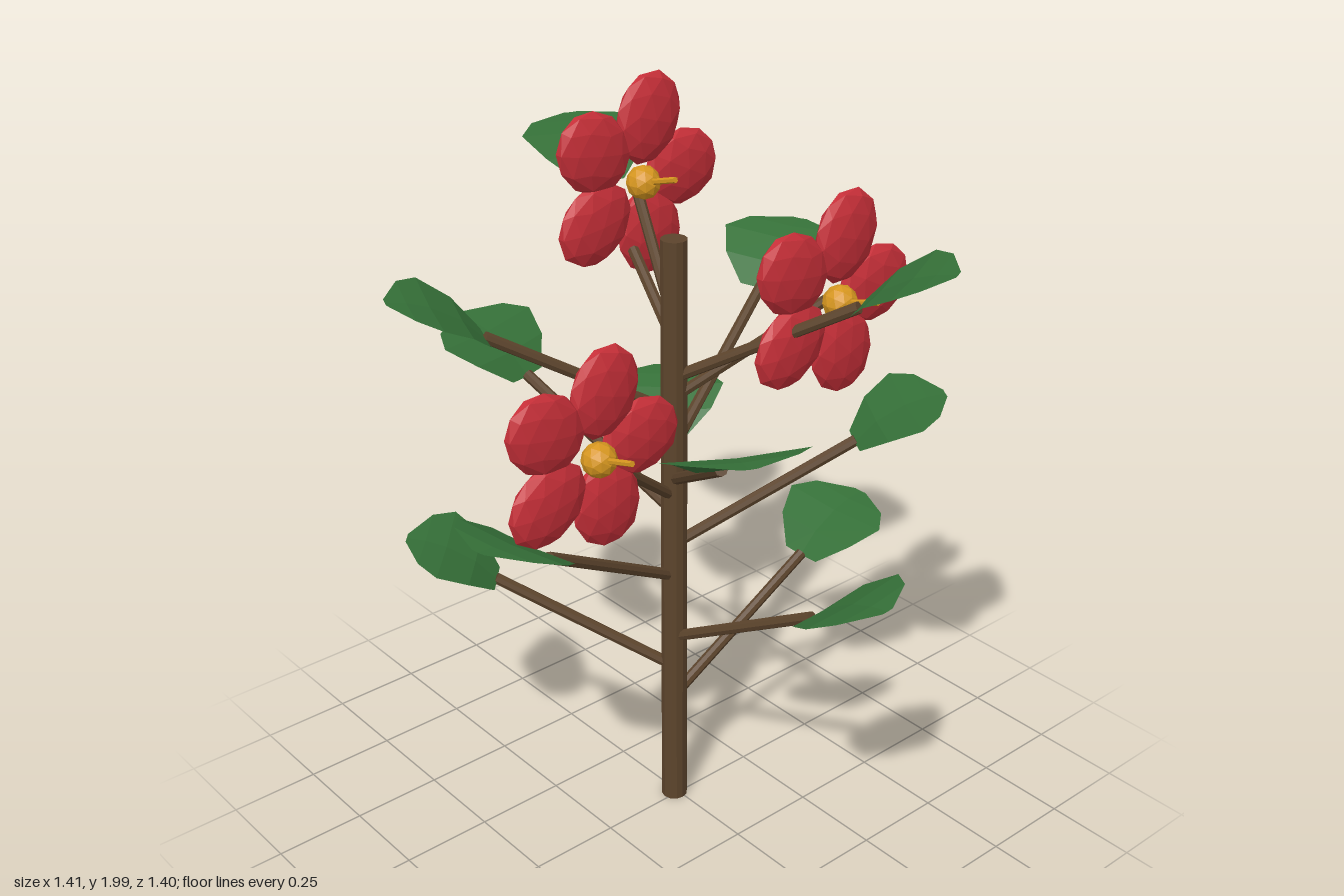
import * as THREE from 'three';

const mat = (name, color, extra = {}) => {
  const m = new THREE.MeshStandardMaterial({ color, flatShading: true, ...extra });
  m.name = name;
  return m;
};

function part(name, geometry, material) {
  const m = new THREE.Mesh(geometry, material);
  m.name = name;
  return m;
}

// Round bar between two points
function bar(name, a, b, r, sides, material) {
  const dir = b.clone().sub(a);
  const m = part(name, new THREE.CylinderGeometry(r, r, dir.length(), sides), material);
  m.position.copy(a).addScaledVector(dir, 0.5);
  m.quaternion.setFromUnitVectors(new THREE.Vector3(0, 1, 0), dir.normalize());
  return m;
}

// Leaf blade along +x: each row is [distance out, rise, half width]
function leafGeometry() {
  const rows = [
    [0, 0, 0.06], [0.055, 0.06, 0.135], [0.13, 0.105, 0.176],
    [0.185, 0.12, 0.13], [0.235, 0.122, 0.02],
  ];
  const pos = [], index = [];
  rows.forEach(([x, y, w], i) => {
    pos.push(x, y, -w, x, y - w * 0.05, 0, x, y, w);
    if (i === 0) return;
    for (let c = 0; c < 2; c++) {
      const a = (i - 1) * 3 + c, b = a + 3;
      index.push(a, a + 1, b + 1, a, b + 1, b);
    }
  });
  const g = new THREE.BufferGeometry();
  g.setAttribute('position', new THREE.Float32BufferAttribute(pos, 3));
  g.setIndex(index);
  g.computeVertexNormals();
  return g;
}

export function createModel() {
  const bark = mat('bark', 0x5c442c);
  const green = mat('leaf green', 0x357038, { side: THREE.DoubleSide });
  const red = mat('petal red', 0xc62f38);
  const gold = mat('pollen gold', 0xd6961f);

  const plant = new THREE.Group();
  plant.name = 'floweringPlant';
  const V = (x, y, z) => new THREE.Vector3(x, y, z);
  const axis = V(-0.008, 0, -0.01);

  // Trunk
  const trunk = part('trunk', new THREE.CylinderGeometry(0.034, 0.036, 1.67, 12), bark);
  trunk.position.set(axis.x, 0.835, axis.z);
  plant.add(trunk);

  // Leafy branches spiralling up by the golden angle
  const blade = leafGeometry();
  for (let i = 0; i < 12; i++) {
    const twig = new THREE.Group();
    twig.name = 'leafBranch';
    twig.position.set(axis.x, 0.333 + i * 0.0967, axis.z);
    twig.rotation.y = THREE.MathUtils.degToRad(137.5 * i);
    twig.add(bar('branch', V(0, 0, 0), V(0.478, 0.272, 0), 0.0155, 8, bark));
    const leaf = part('leaf', blade, green);
    leaf.position.set(0.475, 0.27, 0);
    twig.add(leaf);
    plant.add(twig);
  }

  // Flowers facing forward, each on its own stalk
  const petalGeo = new THREE.IcosahedronGeometry(1, 1).scale(0.121, 0.102, 0.036);
  const heartGeo = new THREE.IcosahedronGeometry(0.045, 1);
  for (const [x, y, z] of [[-0.36, 1.24, 0.09], [0.265, 1.525, 0.255], [0.09, 1.73, -0.28]]) {
    plant.add(bar('flowerStalk', V(axis.x, y - 0.28, axis.z), V(x, y, z), 0.0145, 8, bark));
    const flower = new THREE.Group();
    flower.name = 'flower';
    flower.position.set(x, y, z);
    for (let k = 0; k < 5; k++) {
      const a = (k * Math.PI * 2) / 5;
      const petal = part('petal', petalGeo, red);
      petal.position.set(0.157 * Math.cos(a), 0.157 * Math.sin(a), 0);
      petal.rotation.z = a;
      flower.add(petal);
    }
    const heart = part('flowerHeart', heartGeo, gold);
    heart.position.z = 0.038;
    flower.add(heart);
    flower.add(bar('stamen', V(0, 0, 0.04), V(0, 0.038, 0.162), 0.008, 6, gold));
    plant.add(flower);
  }
  return plant;
}
